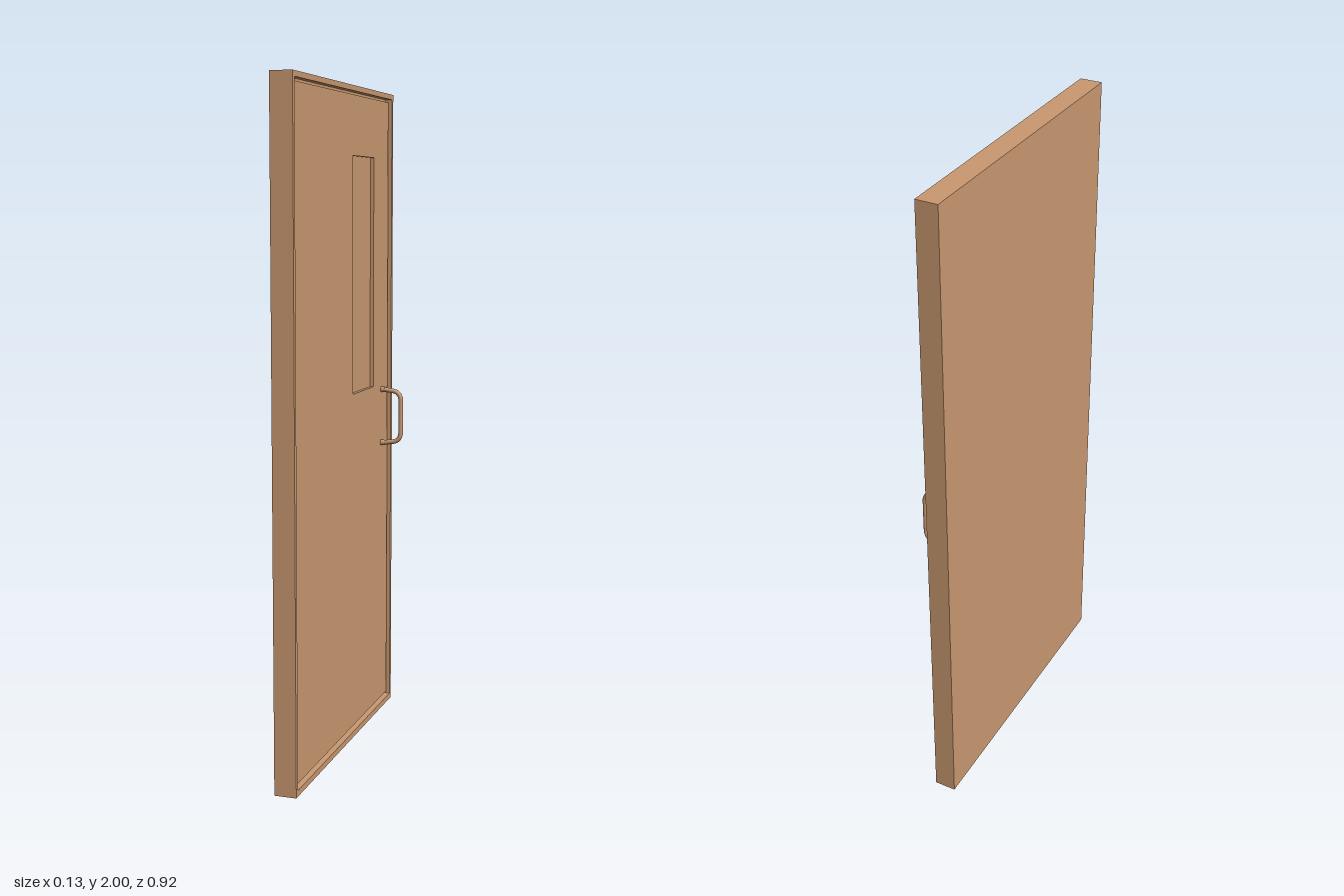
import * as THREE from 'three';

const wood = new THREE.MeshStandardMaterial({ color: 0xc99870 });

// Adds a counter-clockwise (or reversed) rectangle to a path
function rect(path, u0, u1, y0, y1) {
  path.moveTo(u0, y0);
  path.lineTo(u1, y0);
  path.lineTo(u1, y1);
  path.lineTo(u0, y1);
  path.closePath();
  return path;
}

// Rectangular plate facing +x, from x0 to x1, with an optional rectangular hole (u = -z)
function plate(name, outer, hole, x0, x1) {
  const shape = rect(new THREE.Shape(), ...outer);
  if (hole) shape.holes.push(rect(new THREE.Path(), ...hole));
  const geo = new THREE.ExtrudeGeometry(shape, { depth: x1 - x0, bevelEnabled: false });
  geo.rotateY(Math.PI / 2).translate(x0, 0, 0);
  const mesh = new THREE.Mesh(geo, wood);
  mesh.name = name;
  return mesh;
}

export function createModel() {
  const door = new THREE.Group();
  door.name = 'door';
  const back = -0.067, floor = -0.022, leafFace = -0.011, front = -0.001;

  // Solid backing, raised border and inset leaf separated by a narrow groove
  door.add(plate('backing', [-0.46, 0.46, 0, 2], null, back, floor));
  door.add(plate('frame', [-0.46, 0.46, 0, 2], [-0.446, 0.446, 0.018, 1.984], floor, front));
  door.add(plate('leaf', [-0.439, 0.439, 0.027, 1.975], [0.08, 0.286, 1.08, 1.797], floor, leafFace));

  // Pull handle: rounded bracket, slightly splayed towards the door
  const handle = new THREE.Group();
  handle.name = 'handle';
  const P = (x, y) => new THREE.Vector3(x, y, 0);
  const path = new THREE.CurvePath();
  path.add(new THREE.LineCurve3(P(leafFace, 0.088), P(0.028, 0.083)));
  path.add(new THREE.QuadraticBezierCurve3(P(0.028, 0.083), P(0.053, 0.08), P(0.055, 0.054)));
  path.add(new THREE.LineCurve3(P(0.055, 0.054), P(0.055, -0.054)));
  path.add(new THREE.QuadraticBezierCurve3(P(0.055, -0.054), P(0.053, -0.08), P(0.028, -0.083)));
  path.add(new THREE.LineCurve3(P(0.028, -0.083), P(leafFace, -0.088)));
  const bar = new THREE.Mesh(new THREE.TubeGeometry(path, 64, 0.0075, 16), wood);
  bar.name = 'handleBar';
  handle.add(bar);

  // Small mounting collars where the handle meets the leaf
  for (const s of [1, -1]) {
    const collar = new THREE.Mesh(new THREE.CylinderGeometry(0.0085, 0.0095, 0.012, 16), wood);
    collar.name = s > 0 ? 'upperCollar' : 'lowerCollar';
    collar.rotation.z = -Math.PI / 2;
    collar.position.set(leafFace + 0.006, s * 0.087, 0);
    handle.add(collar);
  }
  handle.position.set(0, 0.975, -0.372);
  door.add(handle);
  return door;
}
